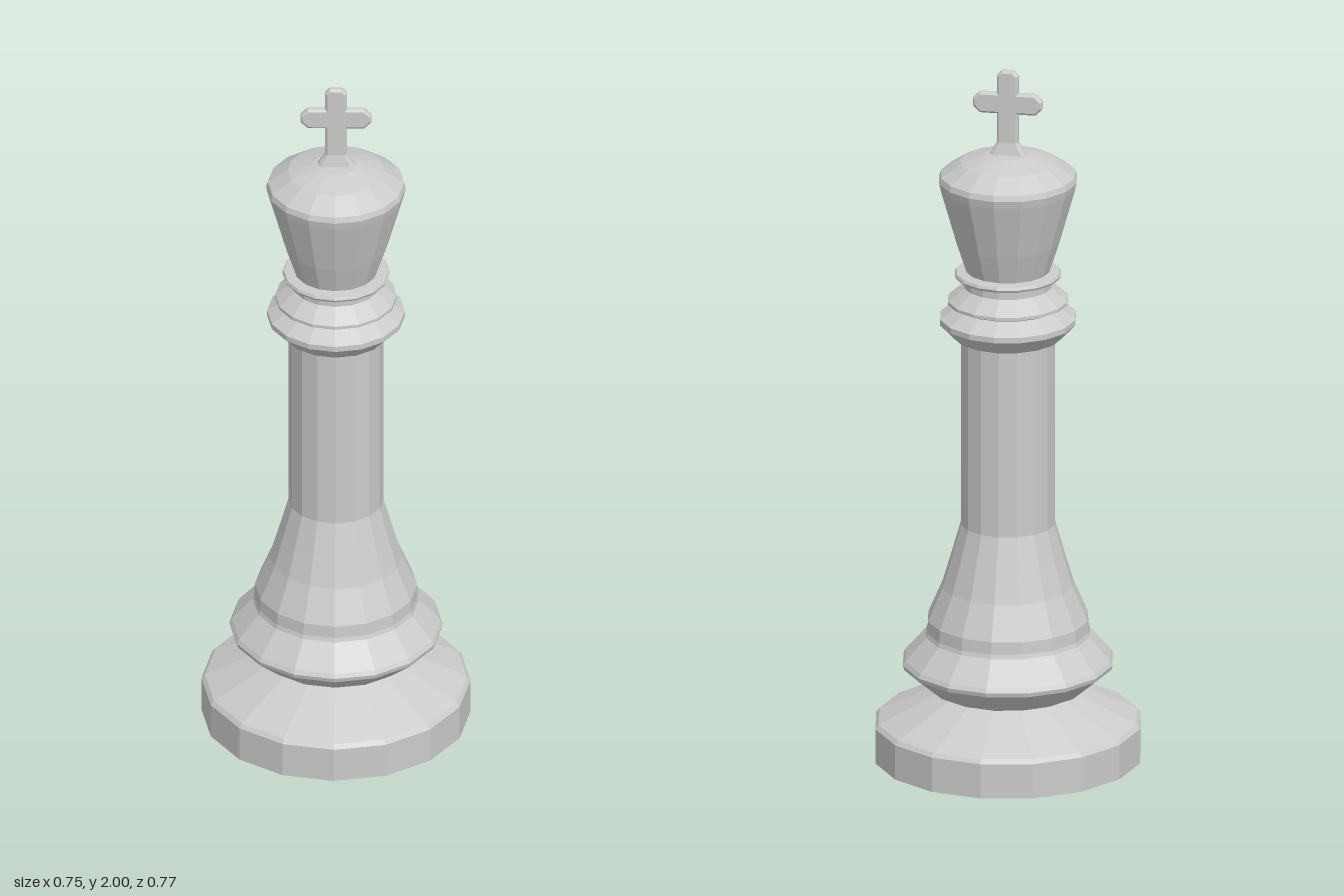
import * as THREE from 'three';

const SIDES = 16;
const X_SQUASH = 0.968; // the turned body is slightly narrower across x

const material = new THREE.MeshStandardMaterial({ color: 0xcccccc, flatShading: true });

function addMesh(group, name, geometry) {
  const mesh = new THREE.Mesh(geometry, material);
  mesh.name = name;
  group.add(mesh);
  return mesh;
}

// Turned part from [radius, height] pairs, listed bottom to top
function addTurned(group, name, profile) {
  const points = profile.map(([r, y]) => new THREE.Vector2(r, y));
  addMesh(group, name, new THREE.LatheGeometry(points, SIDES)).scale.x = X_SQUASH;
}

// Bevelled cross with pointed arm ends
function crossGeometry() {
  const bevel = 0.006;
  const half = [
    [0.024, 1.765], [0.024, 1.881], [0.076, 1.881], [0.092, 1.897],
    [0.092, 1.913], [0.076, 1.929], [0.024, 1.929], [0.024, 1.984], [0.014, 1.994],
  ];
  const mirrored = half.map(([x, y]) => [-x, y]).reverse();
  const shape = new THREE.Shape([...half, ...mirrored].map(([x, y]) => new THREE.Vector2(x, y)));
  const geometry = new THREE.ExtrudeGeometry(shape, {
    depth: 0.012, bevelEnabled: true, bevelSize: bevel, bevelThickness: bevel, bevelSegments: 1,
  });
  return geometry.translate(0, 0, -0.006);
}

// Chamfered foot that tapers up into the cross stem
function footGeometry() {
  const outline = [
    [0.056, -0.010], [0.056, 0.010], [0.044, 0.022], [-0.044, 0.022],
    [-0.056, 0.010], [-0.056, -0.010], [-0.044, -0.022], [0.044, -0.022],
  ];
  const shape = new THREE.Shape(outline.map(([x, z]) => new THREE.Vector2(x, z)));
  const height = 0.042;
  const geometry = new THREE.ExtrudeGeometry(shape, { depth: height, bevelEnabled: false });
  geometry.rotateX(-Math.PI / 2);
  const p = geometry.attributes.position;
  for (let i = 0; i < p.count; i++) {
    if (p.getY(i) > height / 2) p.setXYZ(i, p.getX(i) * 0.54, p.getY(i), p.getZ(i) * 0.55);
  }
  geometry.computeVertexNormals();
  return geometry.translate(0, 1.75, 0);
}

export function createModel() {
  const group = new THREE.Group();
  group.name = 'chessKing';

  addTurned(group, 'base', [[0, 0], [0.385, 0], [0.385, 0.1], [0.375, 0.112], [0.2, 0.195]]);
  addTurned(group, 'baseRing', [
    [0.2, 0.195], [0.225, 0.205], [0.302, 0.268], [0.305, 0.28], [0.298, 0.292], [0.238, 0.358],
  ]);
  addTurned(group, 'shaft', [
    [0.238, 0.358], [0.234, 0.37], [0.232, 0.405], [0.19, 0.5], [0.164, 0.585],
    [0.136, 0.68], [0.136, 1.22],
  ]);
  addTurned(group, 'lowerCollar', [
    [0.136, 1.22], [0.155, 1.225], [0.197, 1.268], [0.197, 1.284], [0.15, 1.316],
  ]);
  addTurned(group, 'middleCollar', [
    [0.15, 1.316], [0.174, 1.326], [0.174, 1.335], [0.127, 1.372], [0.127, 1.398],
  ]);
  addTurned(group, 'upperCollar', [
    [0.127, 1.398], [0.15, 1.4], [0.154, 1.407], [0.15, 1.415], [0.12, 1.418],
  ]);
  addTurned(group, 'head', [
    [0.12, 1.418], [0.148, 1.5], [0.195, 1.66], [0.2, 1.682], [0.195, 1.698],
    [0.138, 1.735], [0.062, 1.757], [0, 1.76],
  ]);
  addMesh(group, 'crossFoot', footGeometry());
  addMesh(group, 'cross', crossGeometry());

  return group;
}
